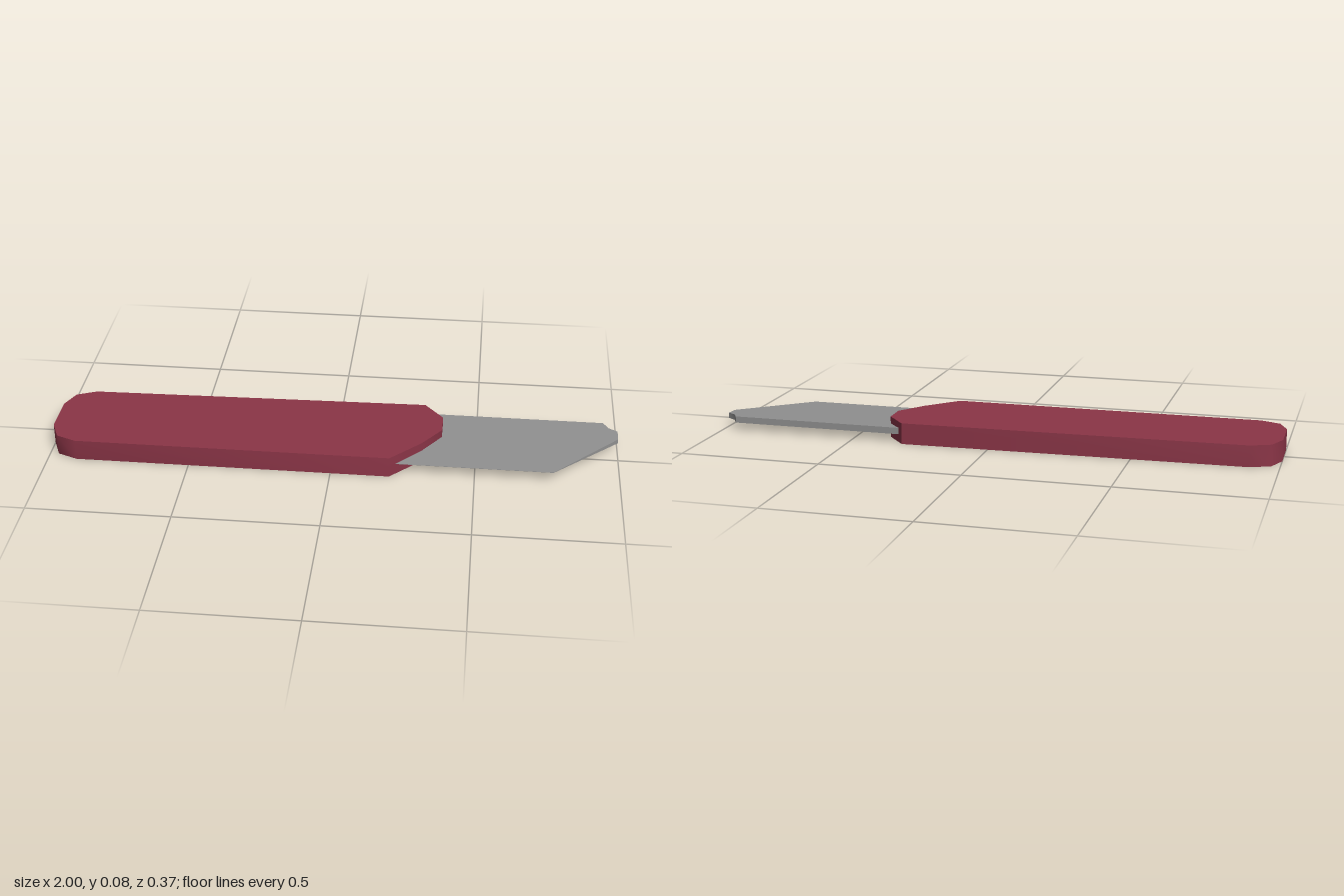
import * as THREE from 'three';
import { toCreasedNormals } from 'three/addons/utils/BufferGeometryUtils.js';

// Flat slab from an outline of [x, z] points, resting on y = 0
function slab(outline, height) {
  const shape = new THREE.Shape(outline.map(([x, z]) => new THREE.Vector2(x, -z)));
  const geometry = new THREE.ExtrudeGeometry(shape, { depth: height, bevelEnabled: false });
  return geometry.rotateX(-Math.PI / 2);
}

export function createModel() {
  const model = new THREE.Group();
  model.name = 'utilityKnife';
  const red = new THREE.MeshStandardMaterial({ name: 'handleRed', color: 0x8b3547 });
  const steel = new THREE.MeshStandardMaterial({ name: 'bladeGrey', color: 0x909090 });

  // Handle: rounded butt, slanted nose
  const handleOutline = [
    [-0.9, 0.183], [0.205, 0.183], [0.31, 0.075], [0.378, -0.02], [0.378, -0.105], [0.31, -0.187],
    [-0.9, -0.16], [-0.97, -0.13], [-1, -0.06], [-1, 0.085], [-0.97, 0.155],
  ];
  const handle = new THREE.Mesh(toCreasedNormals(slab(handleOutline, 0.075), 0.87), red);
  handle.name = 'handle';

  // Blade: wedge, thick along its spine and tapering to the cutting edge
  const spine = -0.165, edge = 0.162, midY = 0.04;
  const bladeOutline = [
    [0.1, edge], [0.77, edge], [1, -0.065], [1, -0.115], [0.97, -0.133], [0.95, spine], [0.1, spine],
  ];
  const wedge = slab(bladeOutline, 1);
  const p = wedge.attributes.position;
  for (let i = 0; i < p.count; i++) {
    const thickness = 0.001 + 0.022 * (edge - p.getZ(i)) / (edge - spine);
    p.setY(i, midY + (p.getY(i) - 0.5) * thickness);
  }
  const blade = new THREE.Mesh(toCreasedNormals(wedge, 0.5), steel);
  blade.name = 'blade';

  model.add(handle, blade);
  return model;
}
